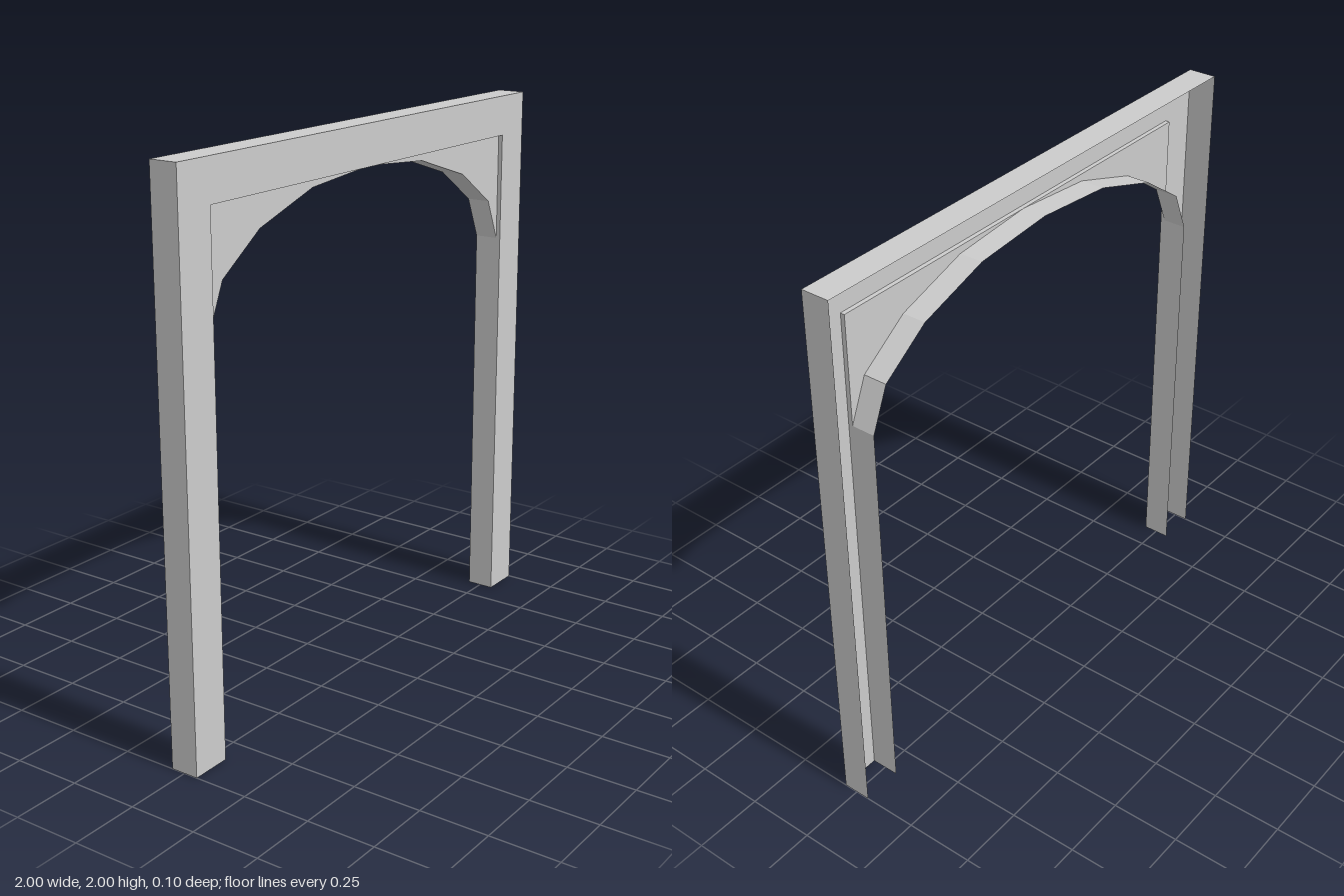
import * as THREE from 'three';

const FRONT = 0.052, BACK = -0.052, PANEL = 0.036; // depths of frame front, open back and recessed panel
const INNER = 0.853, LINTEL = 1.853, SPRING = 1.457; // opening half-width, head height, arch spring height
const material = new THREE.MeshStandardMaterial({ color: 0xcccccc, flatShading: true, side: THREE.DoubleSide });

const points = (list) => list.map(([x, y]) => new THREE.Vector2(x, y));

// Wall swept in depth along an open path; it faces the right-hand side of travel
function wall(name, path, z1, z0) {
  const pos = [];
  for (let i = 0; i < path.length - 1; i++) {
    const [ax, ay] = path[i], [bx, by] = path[i + 1];
    pos.push(ax, ay, z1, ax, ay, z0, bx, by, z0, ax, ay, z1, bx, by, z0, bx, by, z1);
  }
  const geometry = new THREE.BufferGeometry();
  geometry.setAttribute('position', new THREE.Float32BufferAttribute(pos, 3));
  geometry.computeVertexNormals();
  const mesh = new THREE.Mesh(geometry, material);
  mesh.name = name;
  return mesh;
}

// Flat sheet facing the front
function sheet(name, outline, z) {
  const mesh = new THREE.Mesh(new THREE.ShapeGeometry(new THREE.Shape(points(outline))), material);
  mesh.position.z = z;
  mesh.name = name;
  return mesh;
}

export function createModel() {
  const group = new THREE.Group();
  group.name = 'archedDoorFrame';

  // Faceted arch, from the left spring over the crown to the right spring
  const halfArch = [[INNER, SPRING], [0.787, 1.61], [0.6, 1.738], [0.323, 1.826], [0, LINTEL]];
  const arch = [
    ...halfArch.map(([x, y]) => [-x, y]),
    ...halfArch.slice(0, -1).reverse(),
  ];
  const outer = [[1, 0], [1, 2], [-1, 2], [-1, 0]];
  const opening = [[-INNER, 0], [-INNER, LINTEL], [INNER, LINTEL], [INNER, 0]];

  // Front face of posts and lintel, with the outer shell behind it
  group.add(sheet('frameFace', [...outer, ...opening], FRONT));
  group.add(wall('outerShell', outer, FRONT, BACK));

  // Inner sides of the posts
  group.add(wall('postInnerSide', [[-INNER, 0], [-INNER, SPRING]], FRONT, BACK));
  group.add(wall('postInnerSide', [[INNER, SPRING], [INNER, 0]], FRONT, BACK));

  // Shallow step back to the arch panel, and the underside of the arch
  group.add(wall('panelReveal',
    [[-INNER, SPRING], [-INNER, LINTEL], [INNER, LINTEL], [INNER, SPRING]], FRONT, PANEL));
  group.add(wall('archUnderside', arch, PANEL, BACK));

  // Corner panels above the arch
  for (const side of [-1, 1]) {
    const corner = [...halfArch, [INNER, LINTEL]].map(([x, y]) => [side * x, y]);
    group.add(sheet(side > 0 ? 'leftSpandrel' : 'rightSpandrel', corner, PANEL));
  }
  return group;
}
